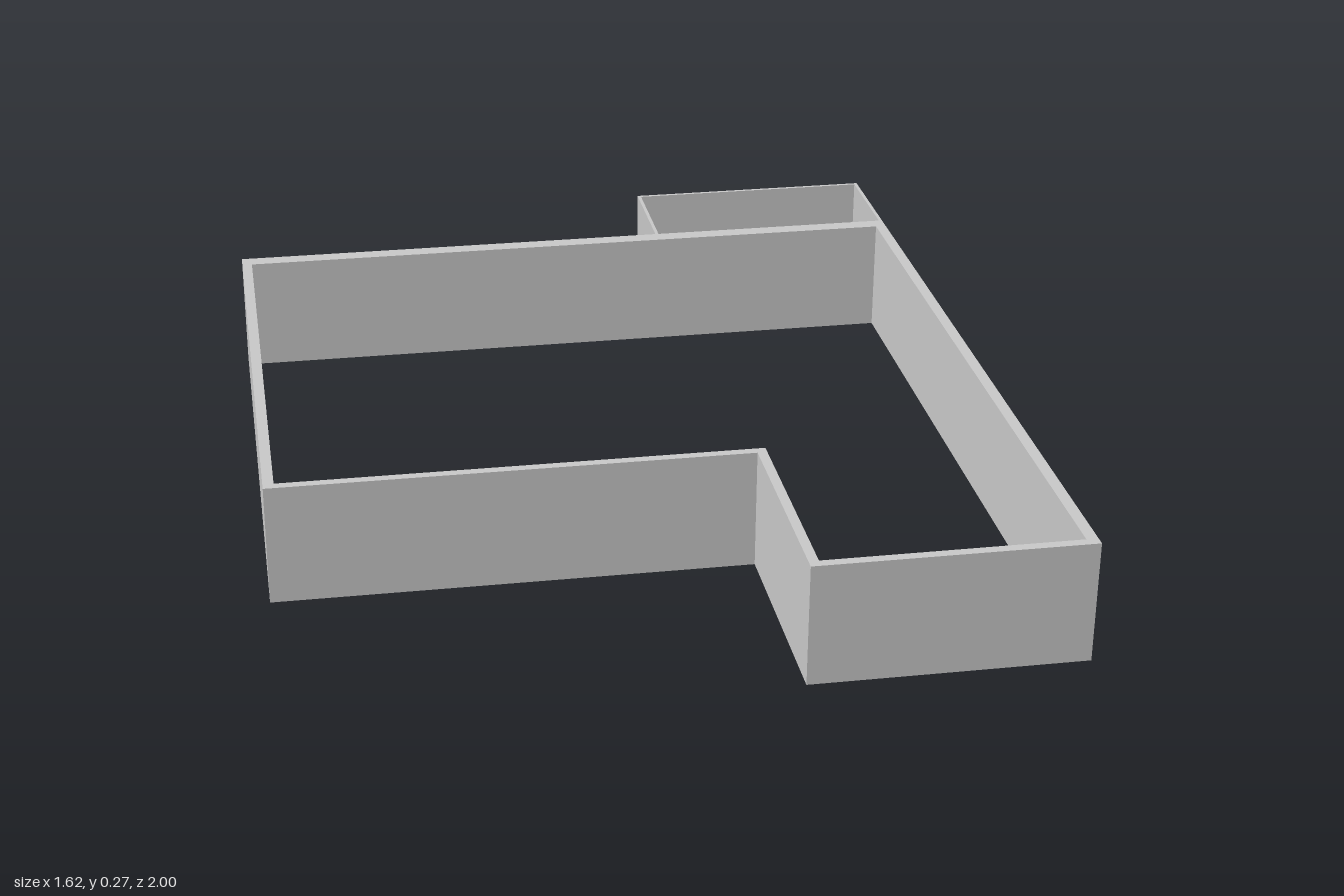
import * as THREE from 'three';

const HEIGHT = 0.267;

// Plan points are [x, z]; the plan is extruded straight up from the ground.
const toPlan = (pts) => pts.map(([x, z]) => new THREE.Vector2(x, -z));

function wall(name, outline, holes, material) {
  const shape = new THREE.Shape(toPlan(outline));
  shape.holes = holes.map((hole) => new THREE.Path(toPlan(hole)));
  const geometry = new THREE.ExtrudeGeometry(shape, { depth: HEIGHT, bevelEnabled: false });
  geometry.rotateX(-Math.PI / 2);
  const mesh = new THREE.Mesh(geometry, material);
  mesh.name = name;
  return mesh;
}

export function createModel() {
  const group = new THREE.Group();
  group.name = 'floorPlanWalls';
  const plaster = new THREE.MeshStandardMaterial({ color: 0xc8c8c8 });
  plaster.name = 'plaster grey';

  // Closed L-shaped ring of house walls, thicker along the back;
  // the inner outline runs opposite to the outer so its faces look inward
  group.add(wall('houseWalls',
    [[-0.808, -0.732], [0.808, -0.732], [0.808, 1], [0.223, 1], [0.223, 0.505], [-0.808, 0.505]],
    [[[-0.785, 0.485], [0.244, 0.485], [0.244, 0.979], [0.783, 0.979], [0.783, -0.694], [-0.785, -0.694]]],
    plaster));

  // Thin U-shaped walls of the small yard behind the house
  const t = 0.008;
  group.add(wall('yardWalls',
    [[0.223, -0.732], [0.223, -1], [0.808, -1], [0.808, -0.732],
      [0.808 - t, -0.732], [0.808 - t, -1 + t], [0.223 + t, -1 + t], [0.223 + t, -0.732]],
    [], plaster));

  return group;
}
